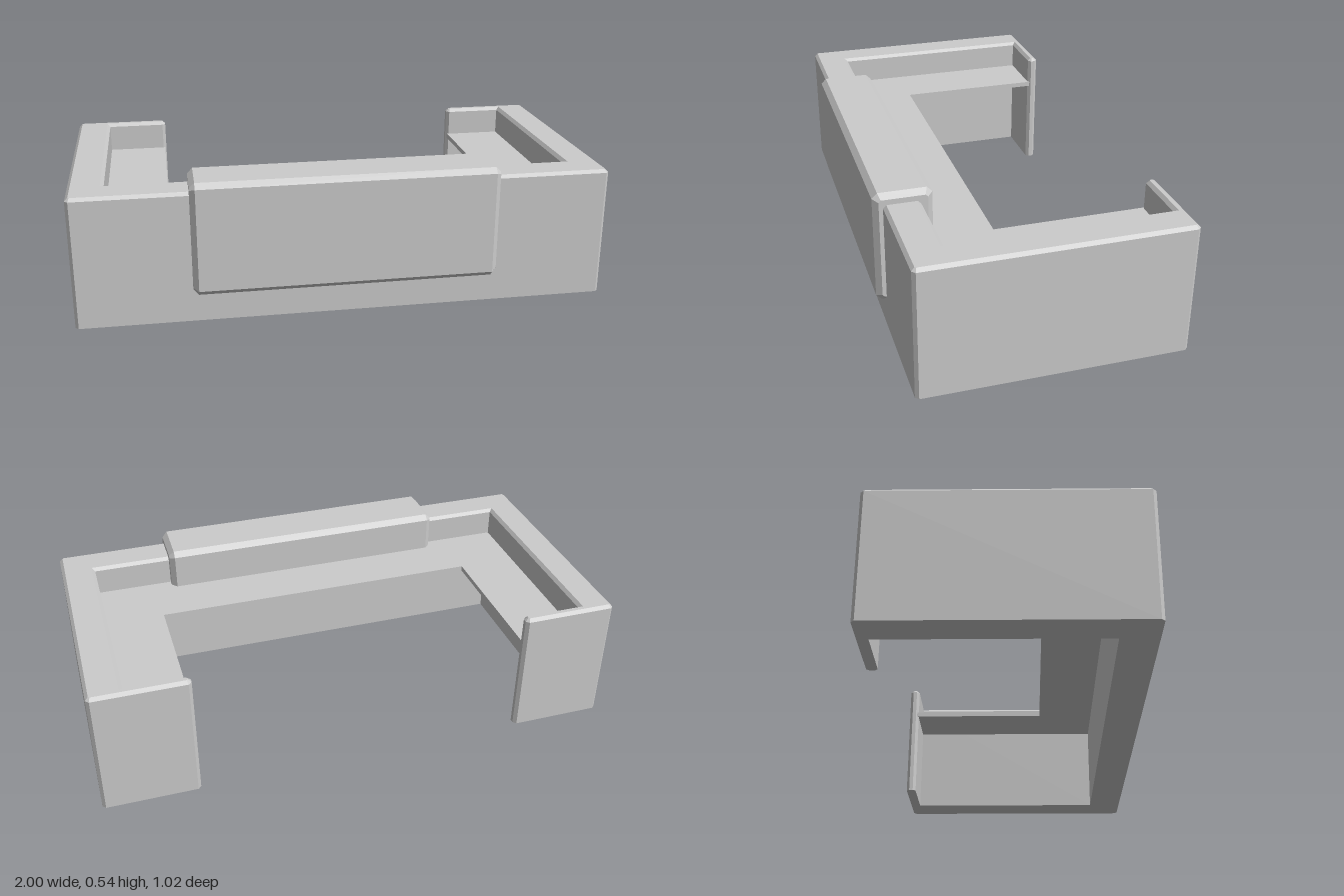
import * as THREE from 'three';

const material = new THREE.MeshStandardMaterial({ color: 0xcccccc, flatShading: true });

// Mirrors a half outline (given for +x, front to back) into a closed C-shaped plan.
function mirroredPlan(half) {
  const points = half.map(([x, z]) => new THREE.Vector2(x, -z));
  const mirrored = half.map(([x, z]) => new THREE.Vector2(-x, -z)).reverse();
  return new THREE.Shape([...points, ...mirrored]);
}

// Extrudes a shape with a single chamfer that stays inside its outline.
function chamferExtrude(shape, length, chamfer) {
  return new THREE.ExtrudeGeometry(shape, {
    depth: length - 2 * chamfer,
    bevelEnabled: chamfer > 0,
    bevelThickness: chamfer,
    bevelSize: chamfer,
    bevelOffset: -chamfer,
    bevelSegments: 1,
  });
}

function addMesh(group, name, geometry) {
  const mesh = new THREE.Mesh(geometry, material);
  mesh.name = name;
  group.add(mesh);
  return mesh;
}

export function createModel() {
  const group = new THREE.Group();
  group.name = 'receptionDesk';

  // Outer walls with returned back panels; chamfered on top and at the outer corners
  const c = 0.012;
  const wallPlan = mirroredPlan([
    [1 - c, 0.475], [1, 0.475 - c],
    [1, -0.51 + c], [1 - c, -0.51],
    [0.635 + c, -0.51], [0.635, -0.51 + c],
    [0.635, -0.47 - c], [0.635 + c, -0.47],
    [0.87, -0.47], [0.87, 0.34],
  ]);
  const walls = chamferExtrude(wallPlan, 0.5 + c, c);
  // Flatten the lower chamfer so the walls stand flat on the floor
  const pos = walls.attributes.position;
  for (let i = 0; i < pos.count; i++) pos.setZ(i, Math.max(0, pos.getZ(i)));
  walls.rotateX(-Math.PI / 2);
  walls.computeVertexNormals();
  addMesh(group, 'outerWalls', walls);

  // Thin work surface running round the inside, let into the walls
  const deskPlan = mirroredPlan([
    [0.88, 0.35], [0.88, -0.48], [0.64, -0.48], [0.64, 0.1],
  ]);
  const desk = chamferExtrude(deskPlan, 0.02, 0);
  desk.rotateX(-Math.PI / 2);
  addMesh(group, 'workSurface', desk).position.y = 0.365;

  // Raised counter hooked over the front wall: profile in (z, y), run along x
  const k = 0.02;
  const profile = new THREE.Shape([
    [0.44, 0.11], [0.51 - k, 0.11], [0.51, 0.11 + k],
    [0.51, 0.54 - k], [0.51 - k, 0.54],
    [0.295 + k, 0.54], [0.295, 0.54 - k],
    [0.295, 0.366], [0.37, 0.366], [0.37, 0.47], [0.44, 0.47],
  ].map(([z, y]) => new THREE.Vector2(z, y)));
  const counter = chamferExtrude(profile, 1.14, k);
  counter.translate(0, 0, -(1.14 - 2 * k) / 2);
  counter.rotateY(-Math.PI / 2);
  addMesh(group, 'raisedCounter', counter);

  return group;
}
